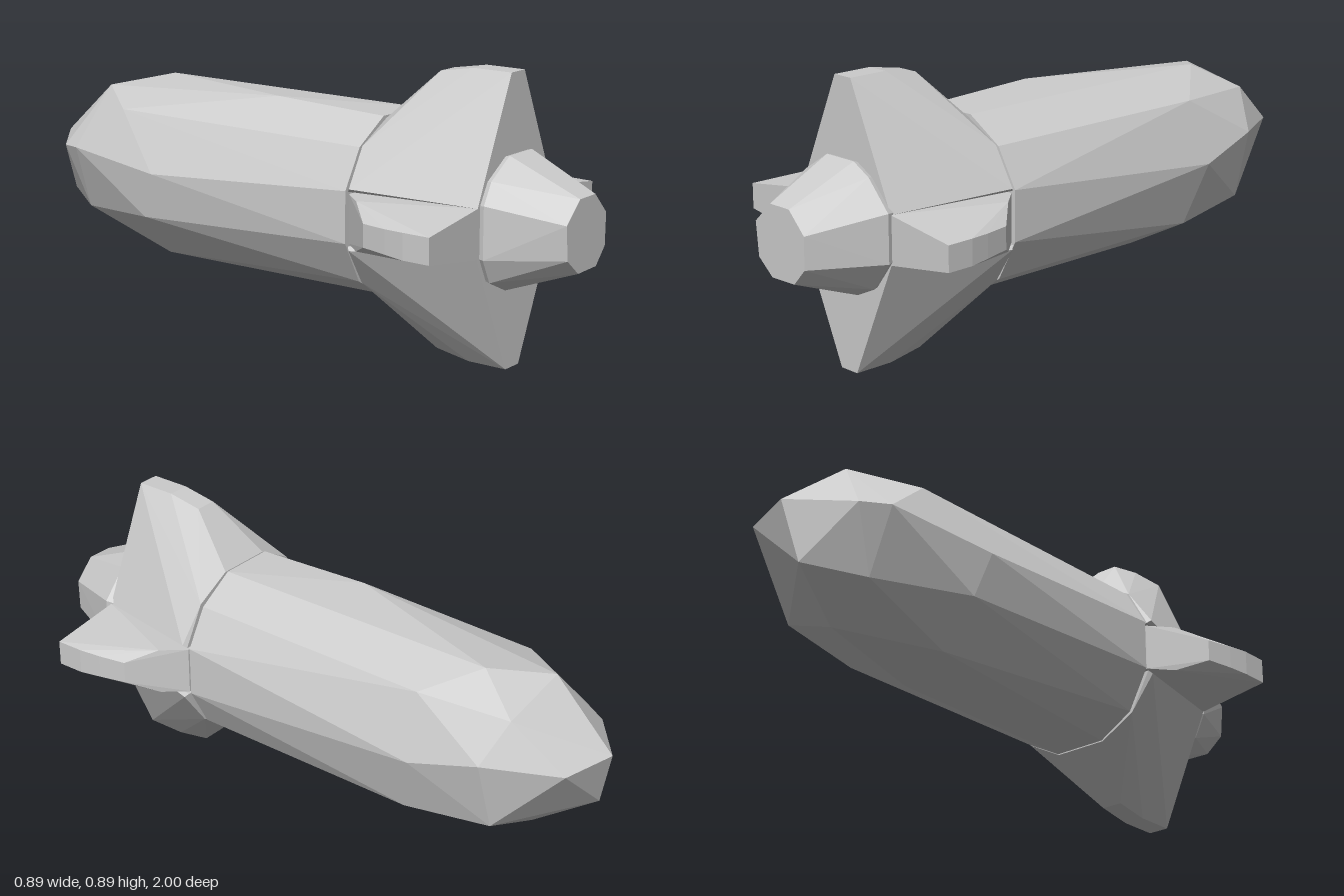
import * as THREE from 'three';
import { ConvexGeometry } from 'three/addons/geometries/ConvexGeometry.js';

const MID = 0.447; // height of the long axis

export function createModel() {
  const group = new THREE.Group();
  const material = new THREE.MeshStandardMaterial({ color: 0xcccccc, flatShading: true });

  const hull = (name, points) => {
    const mesh = new THREE.Mesh(new ConvexGeometry(points.map(p => new THREE.Vector3(...p))), material);
    mesh.name = name;
    group.add(mesh);
  };
  // lift a flat outline to depth z
  const section = (outline, z) => outline.map(([x, y]) => [x, y, z]);
  const mirrorX = pts => pts.flatMap(([x, y, z]) => [[x, y, z], [-x, y, z]]);
  const mirrorY = pts => pts.flatMap(([x, y, z]) => [[x, y, z], [x, 2 * MID - y, z]]);

  // faceted body: tail ring, belly ring, irregular rounded nose
  hull('body', [
    ...mirrorX([[0.28, 0.53, 0.35], [0.28, 0.37, 0.35], [0.21, 0.65, 0.35],
      [0.21, 0.24, 0.35], [0.09, 0.725, 0.35], [0.09, 0.175, 0.355]]),
    [-0.09, 0.74, -0.05],
    [0.22, 0.65, -0.48], [0.29, 0.45, -0.5], [0.23, 0.25, -0.45], [0.05, 0.155, -0.4],
    [-0.15, 0.19, -0.45], [-0.27, 0.33, -0.45], [-0.295, 0.48, -0.4], [-0.2, 0.65, -0.6],
    [0.09, 0.725, -0.63], [0.175, 0.64, -0.78], [-0.06, 0.69, -0.78],
    [0.26, 0.51, -0.73], [-0.245, 0.51, -0.77], [-0.2, 0.5, -0.86],
    [0, 0.205, -0.76], [0.2, 0.28, -0.74], [-0.17, 0.3, -0.78],
    [0.14, 0.5, -0.95], [-0.06, 0.32, -0.95], [-0.03, 0.51, -1],
  ]);

  // tapered nozzle
  const wide = [[-0.06, 0.655], [0.06, 0.655], [0.125, 0.62], [0.208, 0.53], [0.208, 0.38], [0.14, 0.29],
    [0.065, 0.255], [-0.07, 0.255], [-0.155, 0.295], [-0.192, 0.37], [-0.192, 0.53], [-0.155, 0.595]];
  const narrow = [[-0.04, 0.555], [0.045, 0.555], [0.11, 0.49], [0.108, 0.39],
    [0.06, 0.338], [-0.04, 0.336], [-0.1, 0.385], [-0.11, 0.49]];
  hull('nozzle', [
    ...section(wide.map(([x, y]) => [x * 0.95, MID + (y - MID) * 0.95]), 0.74),
    ...section(wide, 0.775),
    ...section(narrow, 1),
  ]);

  // upper and lower fins, each swelling into half of the tail ring
  const fin = mirrorX([
    [0.035, 0.892, 0.76], [0.035, 0.892, 0.63], [0.035, 0.872, 0.515],
    [0.2, 0.522, 0.76], [0.29, 0.54, 0.37], [0.28, 0.53, 0.36],
    [0.21, 0.655, 0.36], [0.09, 0.72, 0.36],
  ]);
  hull('upperFin', fin);
  hull('lowerFin', fin.map(([x, y, z]) => [x, 2 * MID - y, z]));

  // side fins, thinning toward a blunt tip
  const sideFin = mirrorY([
    [0.1, 0.522, 0.36], [0.1, 0.522, 0.76], [0.2, 0.522, 0.76], [0.275, 0.522, 0.36], [0.335, 0.522, 0.43],
    [0.41, 0.482, 0.51], [0.43, 0.484, 0.6], [0.442, 0.487, 0.67], [0.443, 0.487, 0.76],
  ]);
  hull('leftFin', sideFin);
  hull('rightFin', sideFin.map(([x, y, z]) => [-x, y, z]));

  return group;
}
